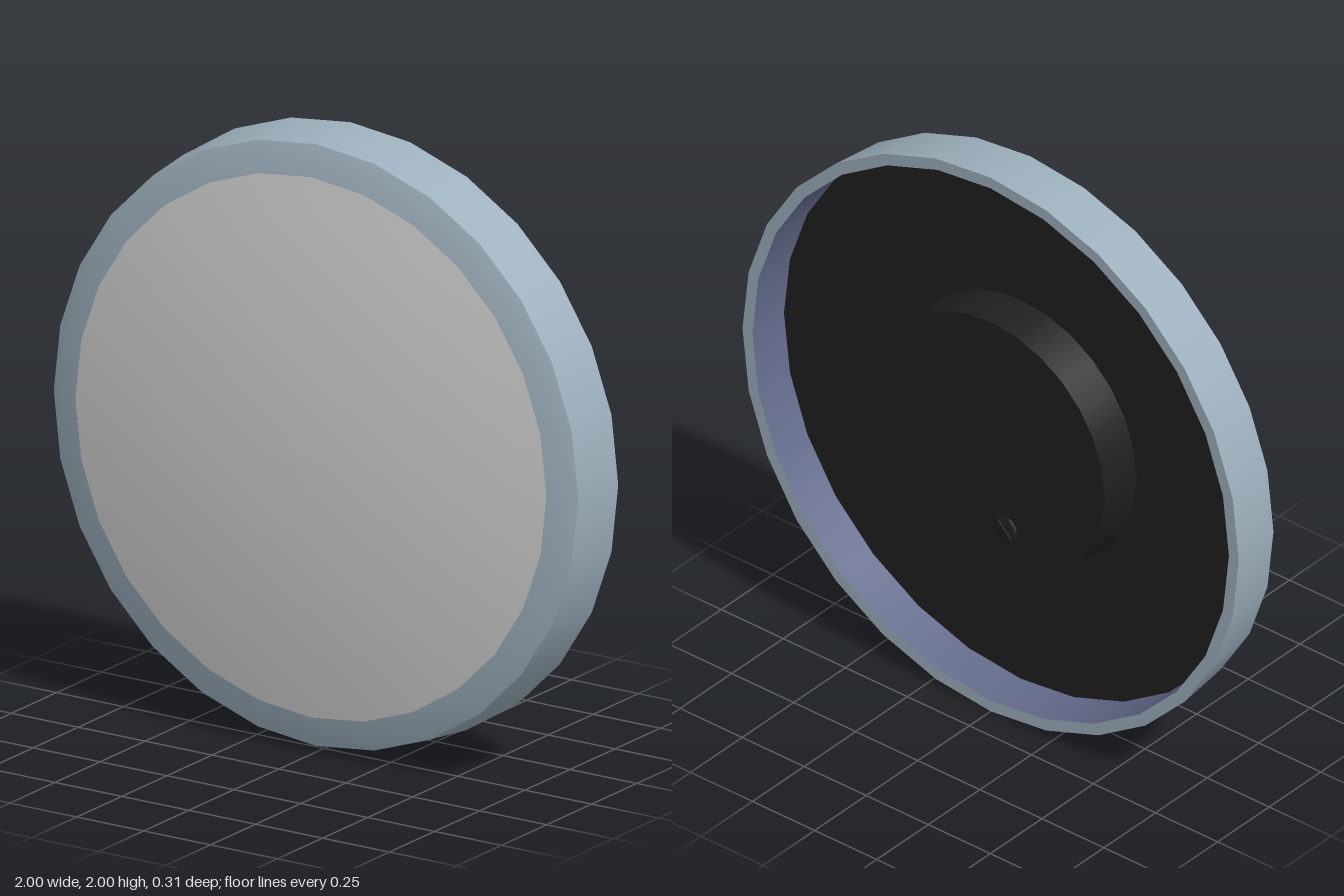
import * as THREE from 'three';

const SIDES = 28;

const mat = (name, color) => {
  const m = new THREE.MeshStandardMaterial({ color });
  m.name = name;
  return m;
};

export function createModel() {
  const model = new THREE.Group();
  model.name = 'roundDomedPanel';

  const rimBlue = mat('rimBlueGrey', 0x9db0bd);
  const faceGrey = mat('faceLightGrey', 0xcfcfcf);
  const black = mat('backBlack', 0x1f1f1f);
  const lining = mat('liningSlate', 0x646b8c);

  // Turned surface about the z axis; each profile point is [radius, z]
  const turned = (name, profile, material, parent = model, sides = SIDES) => {
    const geo = new THREE.LatheGeometry(profile.map(p => new THREE.Vector2(...p)), sides);
    geo.rotateX(Math.PI / 2);
    const mesh = new THREE.Mesh(geo, material);
    mesh.name = name;
    parent.add(mesh);
    return mesh;
  };

  // Rim: separate bands keep the edges between them sharp
  const rim = new THREE.Group();
  rim.name = 'rim';
  model.add(rim);
  turned('rimBackLip', [[0.96, -0.147], [1, -0.147]], rimBlue, rim);
  turned('rimSide', [[1, -0.147], [0.98, 0.045]], rimBlue, rim);
  turned('frontBezel', [[0.98, 0.045], [0.94, 0.06], [0.88, 0.073]], rimBlue, rim);
  turned('innerLining', [[0.955, 0], [0.96, -0.147]], lining, rim);

  // Shallow domed front face
  const dome = [];
  for (let i = 0; i <= 8; i++) {
    const r = 0.89 * (1 - i / 8);
    dome.push([r, 0.147 - 0.077 * (r / 0.89) ** 2]);
  }
  turned('domedFace', dome, faceGrey);

  // Recessed back plate and its raised hub
  turned('backPlate', [[0, 0], [0.955, 0]], black);
  const hub = new THREE.Group();
  hub.name = 'hub';
  model.add(hub);
  turned('hubSide', [[0.457, -0.145], [0.465, 0]], black, hub);
  turned('hubFace', [[0, -0.145], [0.457, -0.145]], black, hub);

  // Slotted screw near the bottom of the hub
  const screw = new THREE.Group();
  screw.name = 'screw';
  screw.position.set(-0.06, -0.29, -0.147);
  turned('screwHead', [[0, -0.008], [0.042, -0.008], [0.045, 0.004]], black, screw, 12);
  const slot = new THREE.Mesh(new THREE.BoxGeometry(0.075, 0.012, 0.006), black);
  slot.name = 'screwSlot';
  slot.rotation.z = Math.PI / 4;
  slot.position.z = -0.009;
  screw.add(slot);
  hub.add(screw);

  model.children.forEach(part => { part.position.y += 1; });
  return model;
}
